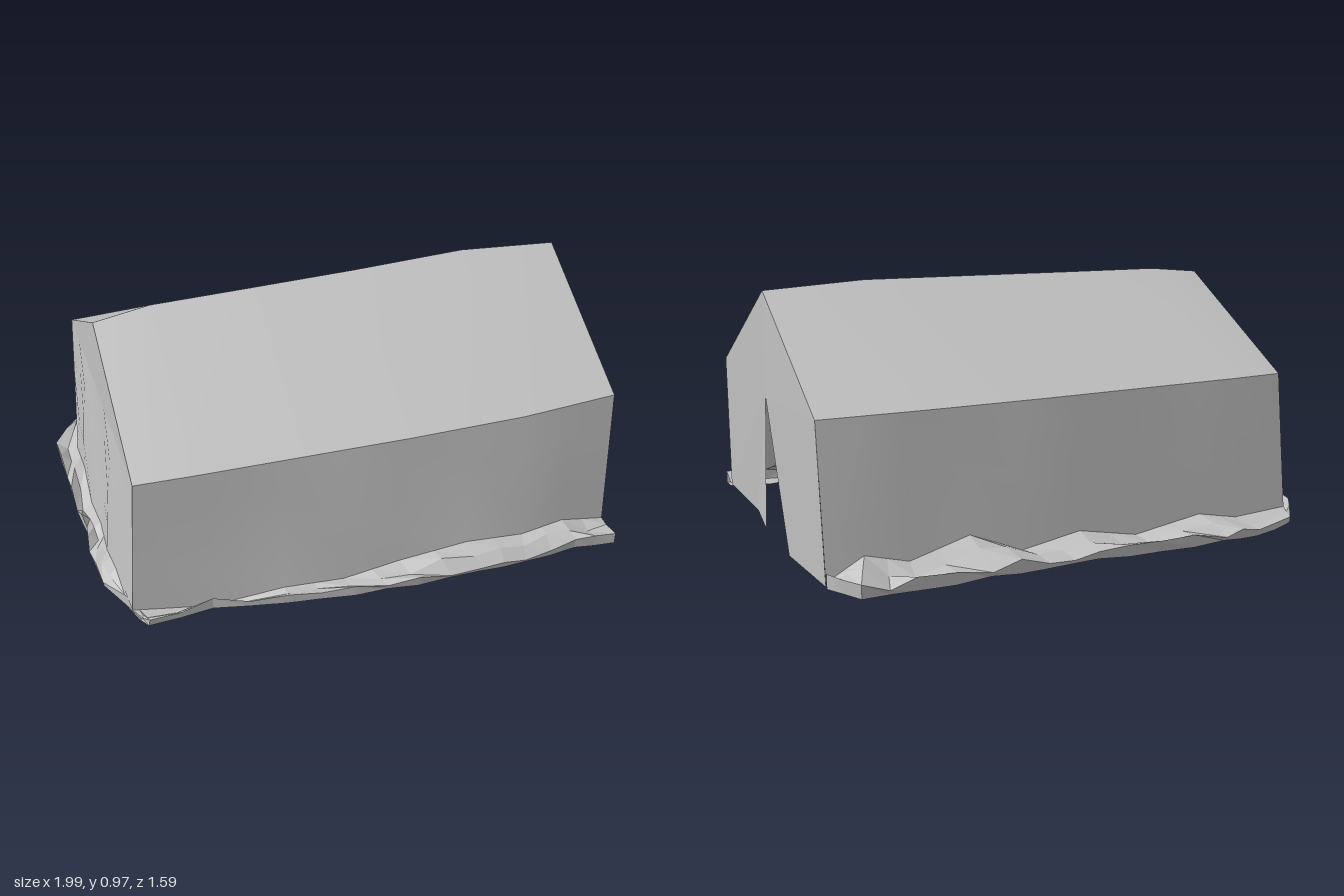
import * as THREE from 'three';

const canvas = new THREE.MeshStandardMaterial({ color: 0xc2c2c2, side: THREE.DoubleSide });
canvas.name = 'canvas grey';

// roof stations along the ridge: x, ridge y, ridge z, front eave z, back eave z
const STATIONS = [
  [-0.87, 0.92, 0.02, 0.61, -0.60], [-0.65, 0.945, 0.0, 0.62, -0.61],
  [-0.25, 0.952, 0.0, 0.63, -0.615], [0.15, 0.96, 0.0, 0.64, -0.62],
  [0.6, 0.97, -0.01, 0.64, -0.615], [0.985, 0.95, 0.005, 0.61, -0.60],
];
const EAVE_Y = 0.595;

// ground line of each wall: wall foot x, y, z, then outer skirt x, z
const FRONT = [
  [0.97, 0.05, 0.66, 0.96, 0.79], [0.78, 0.10, 0.68, 0.80, 0.77], [0.6, 0.09, 0.70, 0.58, 0.79],
  [0.37, 0.11, 0.70, 0.40, 0.785], [0.1, 0.08, 0.69, 0.15, 0.785], [-0.12, 0.05, 0.69, -0.1, 0.765],
  [-0.35, 0.06, 0.68, -0.35, 0.73], [-0.62, 0.02, 0.65, -0.62, 0.67], [-0.91, 0.06, 0.63, -0.86, 0.69],
];
const LEFT_END = [
  FRONT[8], [-0.925, 0.08, 0.4, -0.98, 0.42], [-0.93, 0.05, 0.25, -0.995, 0.22],
  [-0.925, 0.07, 0.1, -0.98, 0.1], [-0.93, 0.04, -0.08, -0.995, -0.05],
  [-0.92, 0.08, -0.28, -0.995, -0.28], [-0.92, 0.06, -0.45, -1.0, -0.52], [-0.89, 0.07, -0.64, -0.88, -0.70],
];
const BACK = [
  LEFT_END[7], [-0.66, 0.06, -0.65, -0.68, -0.78], [-0.5, 0.09, -0.64, -0.53, -0.79],
  [-0.22, 0.05, -0.65, -0.25, -0.79], [0.02, 0.1, -0.66, 0.0, -0.78], [0.25, 0.06, -0.66, 0.2, -0.78],
  [0.45, 0.14, -0.65, 0.42, -0.785], [0.68, 0.08, -0.66, 0.7, -0.795], [0.84, 0.12, -0.65, 0.9, -0.79],
  [0.975, 0.04, -0.64, 0.975, -0.65],
];

const lerp = THREE.MathUtils.lerp;
const mix = (a, b, t) => a.map((v, i) => lerp(v, b[i], t));

// station values at any x
function stationAt(x) {
  let i = 0;
  while (i < STATIONS.length - 2 && x > STATIONS[i + 1][0]) i++;
  const a = STATIONS[i], b = STATIONS[i + 1];
  return mix(a, b, THREE.MathUtils.clamp((x - a[0]) / (b[0] - a[0]), 0, 1));
}

// sheet through rows of points
function sheet(name, rows, flat = false) {
  const n = rows[0].length, index = [];
  for (let r = 0; r < rows.length - 1; r++) {
    for (let c = 0; c < n - 1; c++) {
      const a = r * n + c, b = a + n;
      index.push(a, b, a + 1, a + 1, b, b + 1);
    }
  }
  let geo = new THREE.BufferGeometry();
  geo.setAttribute('position', new THREE.Float32BufferAttribute(rows.flat(2), 3));
  geo.setIndex(index);
  if (flat) geo = geo.toNonIndexed();
  geo.computeVertexNormals();
  const mesh = new THREE.Mesh(geo, canvas);
  mesh.name = name;
  return mesh;
}

// cloth wall hanging from the top line to the foot line, with a soft dimple
function wall(name, top, foot, dimple) {
  const rows = [0, 0.25, 0.5, 0.75, 1].map((t) => top.map((p, i) => {
    const q = mix(p, foot[i], t);
    const edge = i === 0 || i === top.length - 1;
    const sag = edge ? 0 : Math.sin(Math.PI * t) * 0.008 * (i % 3 - 1);
    return [q[0] + dimple[0] * sag, q[1], q[2] + dimple[1] * sag];
  }));
  return sheet(name, rows);
}

export function createModel() {
  const tent = new THREE.Group();
  tent.name = 'tent';
  let seed = 7;
  const rand = () => (seed = (seed * 16807) % 2147483647) / 2147483647;

  // roof slopes
  const ridge = STATIONS.map((s) => [s[0], s[1], s[2]]);
  for (const [name, k] of [['roofFront', 3], ['roofBack', 4]]) {
    const eave = STATIONS.map((s) => [s[0], EAVE_Y, s[k]]);
    tent.add(sheet(name, [ridge, eave]));
  }

  // long walls
  const foot = (p) => p.slice(0, 3);
  const eaveOver = (p, k) => {
    const x = THREE.MathUtils.clamp(p[0] < -0.87 ? -0.87 : p[0] > 0.96 ? 0.985 : p[0], -0.87, 0.985);
    return [x, EAVE_Y, stationAt(x)[k]];
  };
  tent.add(wall('frontWall', FRONT.map((p) => eaveOver(p, 3)), FRONT.map(foot), [0, 1]));
  tent.add(wall('backWall', BACK.map((p) => eaveOver(p, 4)), BACK.map(foot), [0, -1]));

  // closed end wall and its gable
  const first = STATIONS[0];
  const endEave = LEFT_END.map((p, i) => [-0.87, EAVE_Y, lerp(first[3], first[4], i / (LEFT_END.length - 1))]);
  tent.add(wall('closedEndWall', endEave, LEFT_END.map(foot), [-1, 0]));
  tent.add(sheet('closedEndGable', [endEave.map(() => ridge[0]), endEave]));

  // door end: two flaps meeting above a narrow slit
  const peak = ridge[5];
  tent.add(sheet('doorFlapFront', [
    [peak, peak, peak],
    [[0.985, EAVE_Y, 0.61], [0.984, 0.56, 0.04], [0.985, 0.55, 0.01]],
    [[0.97, 0.05, 0.66], [0.965, 0.045, 0.26], [0.99, 0.03, 0.05]],
  ], true));
  tent.add(sheet('doorFlapBack', [
    [peak, peak],
    [[0.985, 0.55, 0.01], [0.985, EAVE_Y, -0.60]],
    [[0.975, 0, -0.2], [0.975, 0.025, -0.64]],
  ], true));

  // crumpled ground skirt around the three walls
  const line = [...FRONT, ...LEFT_END.slice(1), ...BACK.slice(1)];
  const fine = line.flatMap((p, i) => (i < line.length - 1 ? [p, mix(p, line[i + 1], 0.5)] : [p]));
  const across = (p, t, y) => [lerp(p[0], p[3], t), y, lerp(p[2], p[4], t)];
  tent.add(sheet('groundSkirt', [
    fine.map(foot),
    fine.map((p) => across(p, 0.35 + 0.3 * rand(), p[1] * (0.55 + 0.5 * rand()))),
    fine.map((p) => across(p, 1, 0.035 + 0.04 * rand())),
    fine.map((p) => across(p, 0.9 + 0.08 * rand(), 0.015 + 0.01 * rand())),
    fine.map((p) => across(p, 0.2 + 0.3 * rand(), 0.015 + 0.015 * rand())),
  ], true));

  return tent;
}
